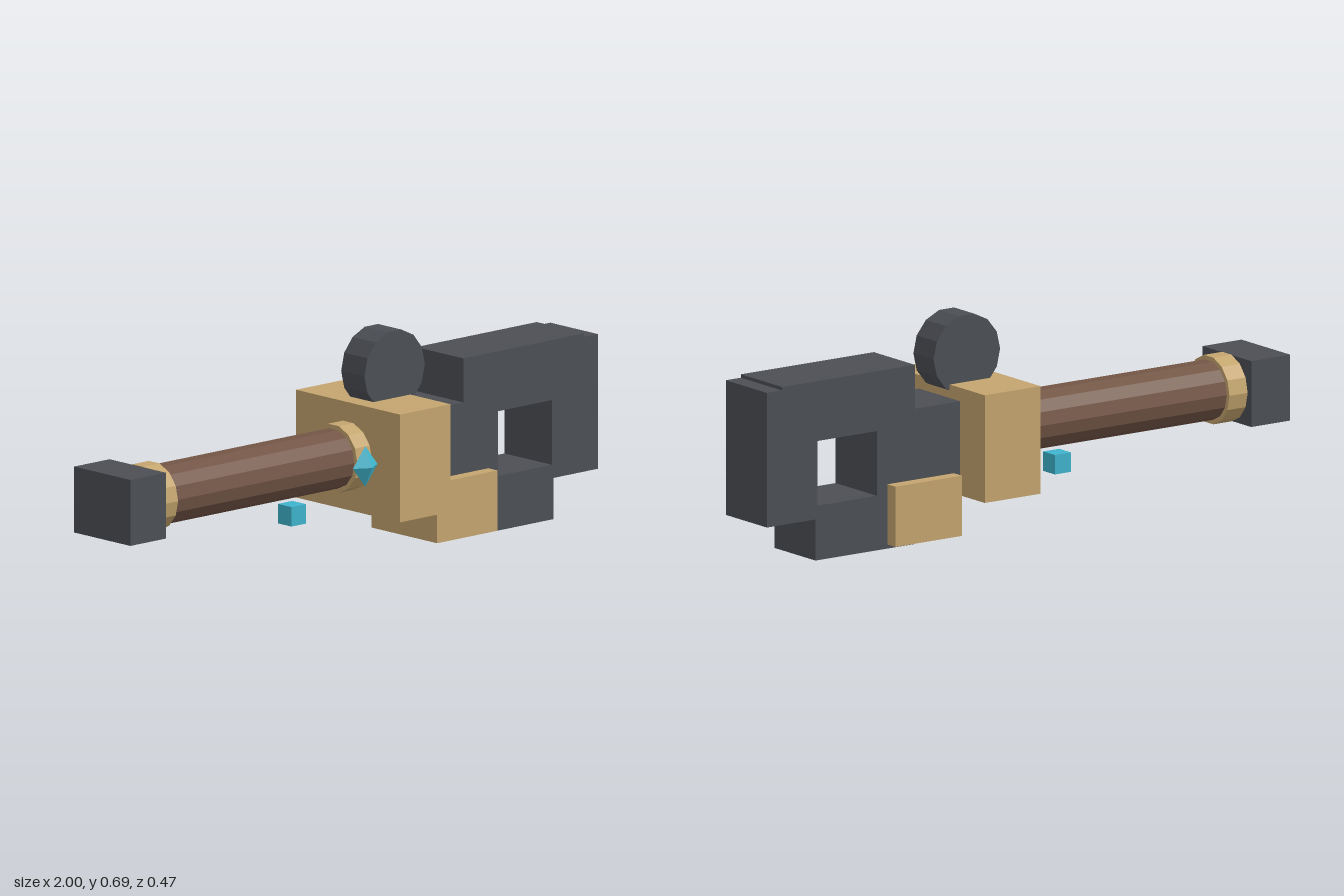
import * as THREE from 'three';

const AXIS_Y = 0.305; // height of the grip's centre line

export function createModel() {
  const model = new THREE.Group();
  model.name = 'hilt';

  const material = (name, color) => {
    const m = new THREE.MeshStandardMaterial({ color, flatShading: true });
    m.name = name;
    return m;
  };
  const steel = material('dark steel', 0x4c4f55);
  const brass = material('brass', 0xc4a56e);
  const leather = material('brown leather', 0x735545);
  const crystal = material('cyan crystal', 0x3fb4cd);

  const add = (name, geometry, mat, x = 0, y = 0, z = 0) => {
    const mesh = new THREE.Mesh(geometry, mat);
    mesh.name = name;
    mesh.position.set(x, y, z);
    model.add(mesh);
    return mesh;
  };
  // Box given by its x and y limits and half its depth
  const box = (name, mat, x0, x1, y0, y1, halfZ) =>
    add(name, new THREE.BoxGeometry(x1 - x0, y1 - y0, halfZ * 2), mat, (x0 + x1) / 2, (y0 + y1) / 2);
  // Cylinder lying along the grip
  const rod = (name, mat, x0, x1, radius) =>
    add(name, new THREE.CylinderGeometry(radius, radius, x1 - x0, 14).rotateZ(Math.PI / 2), mat, (x0 + x1) / 2, AXIS_Y);

  // Grip with its end cap and collars
  box('pommel', steel, -1, -0.85, 0.2, 0.41, 0.128);
  rod('rearCollar', brass, -0.85, -0.78, 0.109);
  rod('grip', leather, -0.78, -0.02, 0.095);
  rod('frontCollar', brass, -0.02, 0.042, 0.109);

  // Cross guard and the wheel above it
  box('guard', brass, 0.042, 0.256, 0.131, 0.474, 0.237);
  const wheel = new THREE.CylinderGeometry(0.128, 0.128, 0.106, 14, 1, false, Math.PI / 2);
  add('wheel', wheel.rotateX(Math.PI / 2), steel, 0.19, 0.562);

  // Stepped head with a square opening
  const outline = [
    [0.25, 0.175], [0.43, 0.175], [0.43, 0], [0.813, 0], [0.813, 0.131], [1, 0.131],
    [1, 0.56], [0.942, 0.56], [0.942, 0.571], [0.43, 0.571], [0.43, 0.431], [0.25, 0.431],
  ];
  const hole = [[0.577, 0.174], [0.577, 0.38], [0.805, 0.38], [0.805, 0.174]];
  const toPoints = (list) => list.map(([x, y]) => new THREE.Vector2(x, y));
  const headShape = new THREE.Shape(toPoints(outline));
  headShape.holes.push(new THREE.Path(toPoints(hole)));
  add('head', new THREE.ExtrudeGeometry(headShape, { depth: 0.216, bevelEnabled: false }), steel, 0, 0, -0.108);

  // Brass clamp across the lower head
  box('clamp', brass, 0.28, 0.536, 0.013, 0.205, 0.15);

  // Crystals: a gem on the front and a small cube below the grip
  add('gem', new THREE.OctahedronGeometry(1).scale(0.052, 0.065, 0.031), crystal, -0.025, AXIS_Y, 0.15);
  box('crystalCube', crystal, -0.227, -0.165, 0.125, 0.187, 0.031);

  return model;
}
